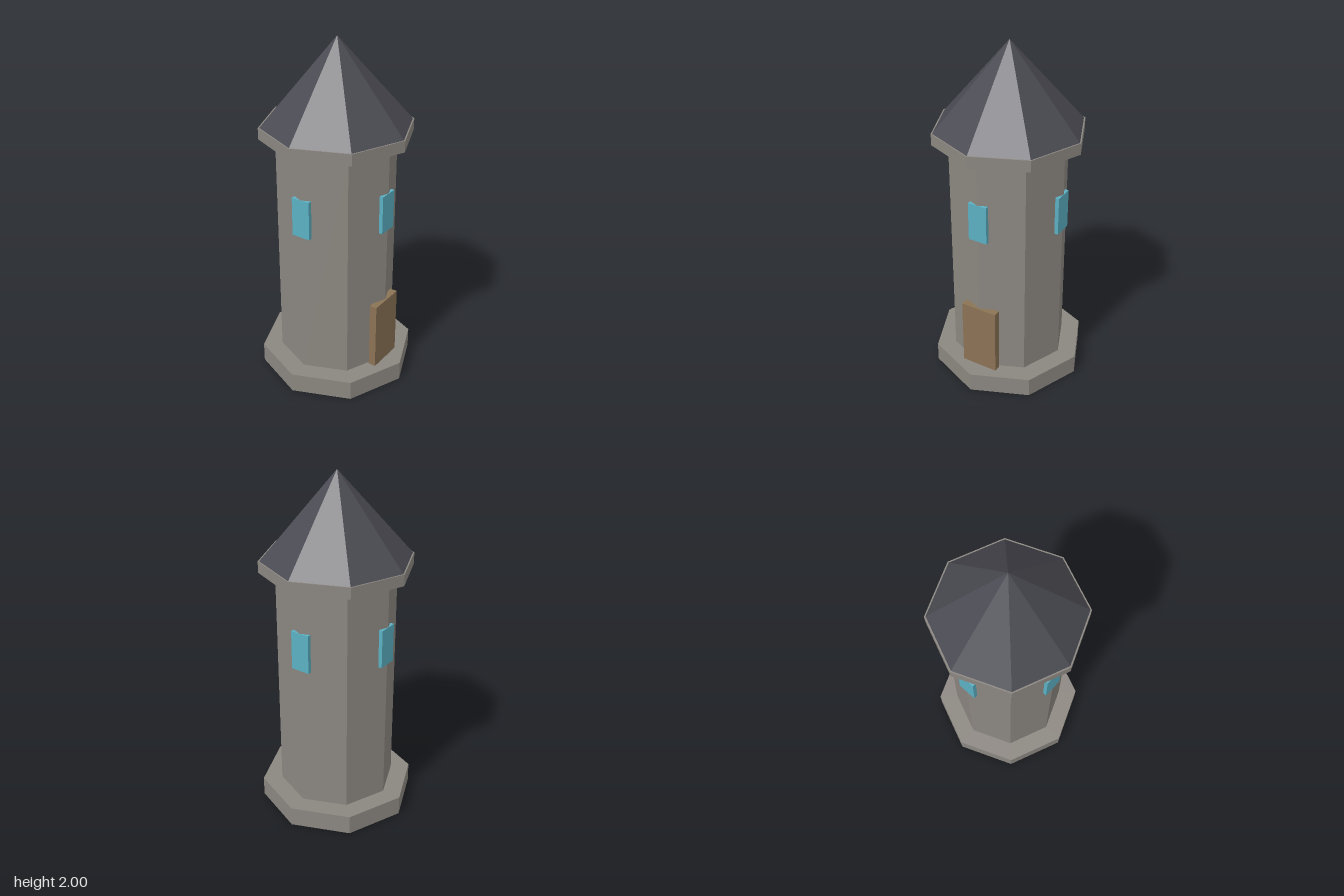
import * as THREE from 'three';

const flat = (name, color) => {
  const m = new THREE.MeshStandardMaterial({ color, flatShading: true });
  m.name = name;
  return m;
};

export function createModel() {
  const stone = flat('stone', 0x8b8680);
  const slate = flat('slate', 0x4a4a52);
  const wood = flat('wood', 0x8b7355);
  const glass = flat('glass', 0x5bb0c2);

  const tower = new THREE.Group();
  tower.name = 'tower';

  const add = (name, geometry, material, x, y, z) => {
    const mesh = new THREE.Mesh(geometry, material);
    mesh.name = name;
    mesh.position.set(x, y, z);
    tower.add(mesh);
    return mesh;
  };

  // Octagonal tiers, with corners on the x and z axes
  const tier = (name, radius, y0, y1) =>
    add(name, new THREE.CylinderGeometry(radius, radius, y1 - y0, 8), stone, 0, (y0 + y1) / 2, 0);
  tier('base', 0.45, 0, 0.115);
  tier('shaft', 0.337, 0.115, 1.455);
  tier('cornice', 0.427, 1.455, 1.52);

  // Pointed roof
  add('roof', new THREE.ConeGeometry(0.419, 0.48, 8), slate, 0, 1.76, 0);

  // Door at the front
  add('door', new THREE.BoxGeometry(0.218, 0.405, 0.043), wood, 0, 0.3175, 0.3255);

  // One window on each of the four axis corners
  const pane = new THREE.BoxGeometry(0.112, 0.224, 0.022);
  for (let i = 0; i < 4; i++) {
    const a = (i * Math.PI) / 2;
    add('window', pane, glass, Math.sin(a) * 0.3275, 1.081, Math.cos(a) * 0.3275).rotation.y = a;
  }

  return tower;
}
